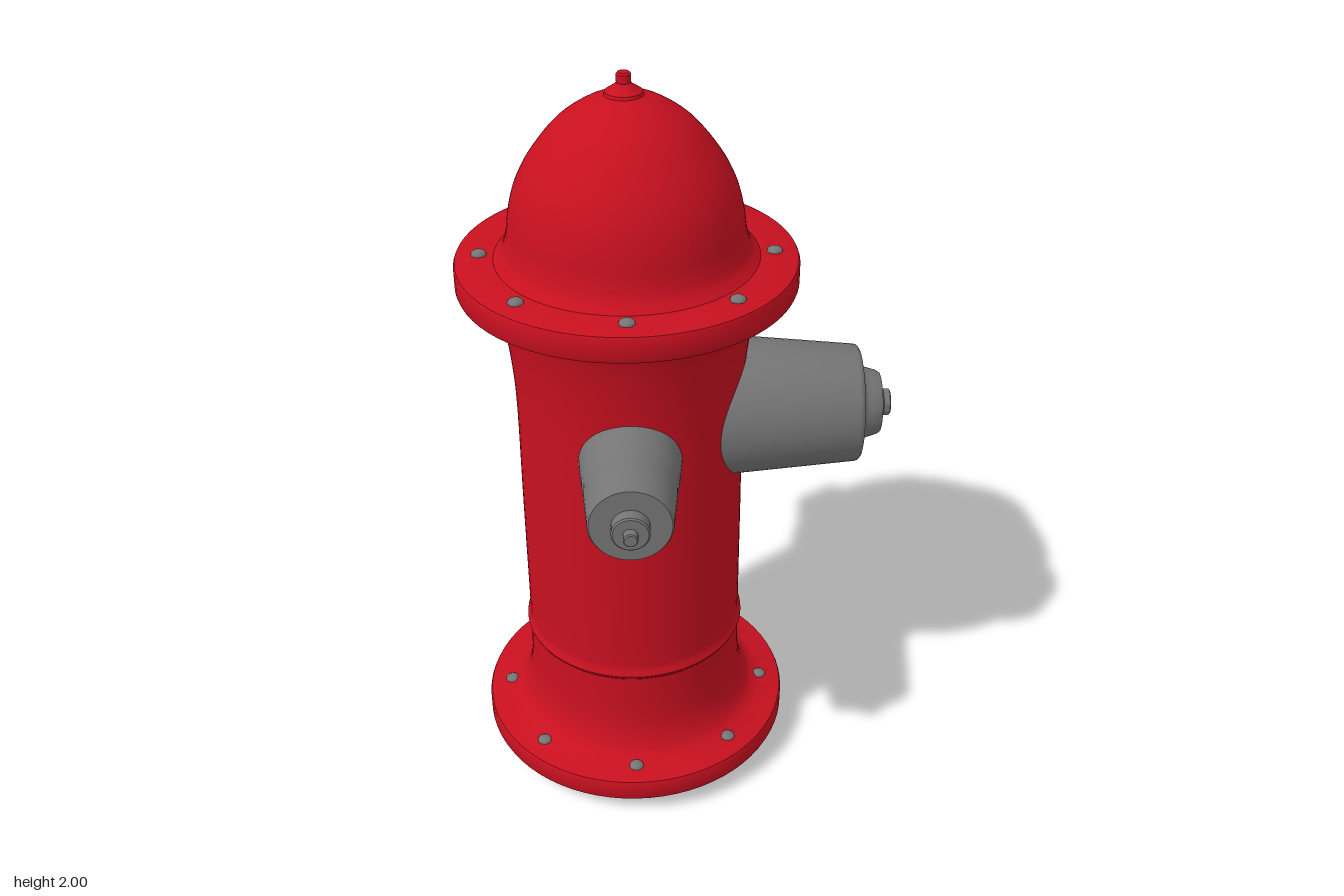
import * as THREE from 'three';
import { toCreasedNormals } from 'three/addons/utils/BufferGeometryUtils.js';

const red = new THREE.MeshStandardMaterial({ color: 0xc8101f });
const grey = new THREE.MeshStandardMaterial({ color: 0x757575 });

const vec = ([r, y]) => new THREE.Vector2(r, y);

// Smooth stretch of a profile through a few [radius, height] points
const smooth = (points, n = 20) =>
  new THREE.SplineCurve(points.map(vec)).getPoints(n).map((p) => [p.x, p.y]);

// Turned part from a [radius, height] profile running upward
function turned(name, profile, material, segments = 72) {
  const geometry = new THREE.LatheGeometry(profile.map(vec), segments);
  const mesh = new THREE.Mesh(toCreasedNormals(geometry, 0.6), material);
  mesh.name = name;
  return mesh;
}

// Rounded rim of a flange between two heights
const rim = (r, y0, y1, b = 0.012) => [
  [r - b, y0], [r - b * 0.3, y0 + b * 0.3], [r, y0 + b],
  [r, y1 - b], [r - b * 0.3, y1 - b * 0.3], [r - b, y1],
];

// Ring of eight bolt heads
function boltRing(name, y, radius = 0.37) {
  const ring = new THREE.Group();
  ring.name = name;
  const geometry = new THREE.SphereGeometry(0.02, 16, 10);
  for (let i = 0; i < 8; i++) {
    const a = (i * Math.PI) / 4;
    const bolt = new THREE.Mesh(geometry, grey);
    bolt.name = 'bolt';
    bolt.scale.y = 0.6;
    bolt.position.set(radius * Math.cos(a), y, radius * Math.sin(a));
    ring.add(bolt);
  }
  return ring;
}

export function createModel() {
  const model = new THREE.Group();
  model.name = 'fireHydrant';
  const hydrant = new THREE.Group();
  hydrant.name = 'hydrant';
  hydrant.position.x = -0.13;
  model.add(hydrant);

  // Foot, base flange and column with its raised band
  hydrant.add(turned('body', [
    [0, 0], [0.25, 0.003],
    ...smooth([[0.31, 0.01], [0.355, 0.022], [0.38, 0.04], [0.385, 0.055]], 8),
    ...rim(0.435, 0.055, 0.125),
    ...smooth([[0.365, 0.127], [0.335, 0.15], [0.313, 0.2], [0.303, 0.27], [0.3, 0.385]]),
    [0.306, 0.392], [0.309, 0.4], [0.306, 0.408], [0.301, 0.416],
    ...smooth([[0.3, 0.43], [0.3, 0.8], [0.299, 1.1], [0.305, 1.24], [0.318, 1.35], [0.334, 1.42], [0.355, 1.455]], 28),
    [0.36, 1.46],
  ], red));

  // Upper flange
  hydrant.add(turned('topFlange', [[0.28, 1.46], ...rim(0.433, 1.46, 1.535), [0.28, 1.535]], red));

  // Domed bonnet with the small operating nut
  hydrant.add(turned('bonnet', [
    ...smooth([[0.335, 1.534], [0.312, 1.56], [0.299, 1.6], [0.29, 1.66], [0.272, 1.725],
      [0.235, 1.795], [0.17, 1.875], [0.1, 1.925], [0.048, 1.946]], 36),
    [0.046, 1.954], [0.022, 1.97], [0.018, 1.975], [0.018, 1.995], [0.014, 2], [0, 2],
  ], red));

  hydrant.add(boltRing('baseBolts', 0.126));
  hydrant.add(boltRing('topFlangeBolts', 1.536));
  hydrant.add(boltRing('topFlangeNuts', 1.458));

  // Large side outlet, distances measured from the hydrant axis
  const large = turned('largeOutlet', [
    [0.196, 0.15], [0.182, 0.31], [0.157, 0.595], [0.154, 0.603], [0.147, 0.608], [0.138, 0.608],
    ...smooth([[0.138, 0.608], [0.112, 0.611], [0.098, 0.619], [0.092, 0.635]], 8),
    [0.086, 0.655], [0.08, 0.664], [0.042, 0.67],
    [0.036, 0.674], [0.035, 0.69], [0.031, 0.693], [0, 0.693],
  ], grey, 56);
  large.rotation.z = -Math.PI / 2;
  large.position.y = 1.085;
  hydrant.add(large);

  // Matching small outlets at front and back
  for (const side of [1, -1]) {
    const small = turned(side > 0 ? 'frontOutlet' : 'backOutlet', [
      [0.136, 0.2], [0.128, 0.3], [0.12, 0.375], [0.117, 0.38], [0.115, 0.42],
      [0.104, 0.535], [0.1, 0.541], [0.047, 0.541],
      [0.047, 0.572], [0.043, 0.576], [0.018, 0.576], [0.018, 0.597], [0.015, 0.6], [0, 0.6],
    ], grey, 48);
    small.rotation.x = (side * Math.PI) / 2;
    small.position.y = 1.085;
    hydrant.add(small);
  }

  return model;
}
